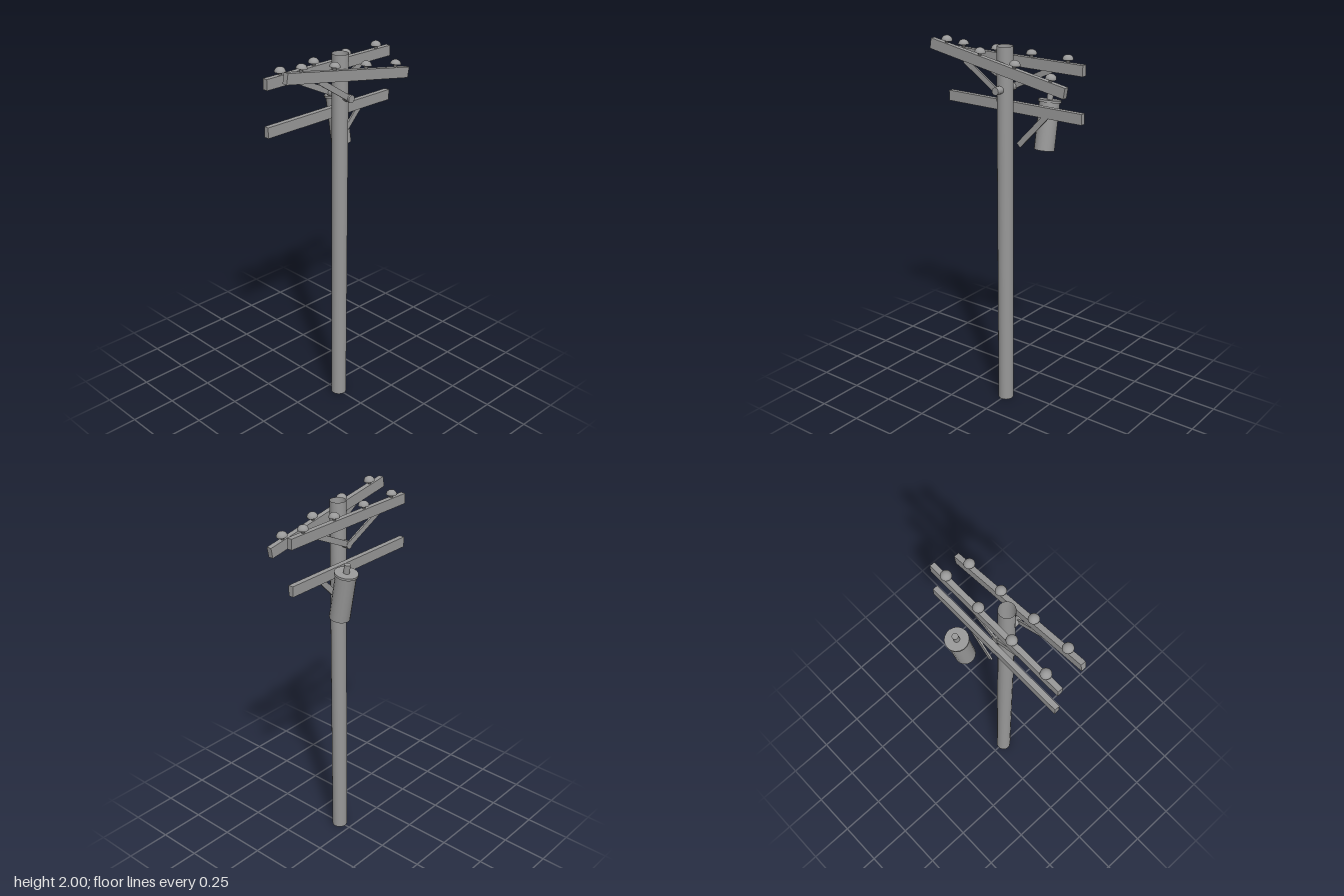
import * as THREE from 'three';

const grey = new THREE.MeshStandardMaterial({ color: 0x999999 });
const greyOpen = new THREE.MeshStandardMaterial({ color: 0x999999, side: THREE.DoubleSide });

function add(parent, name, geometry, x = 0, y = 0, z = 0, material = grey) {
  const mesh = new THREE.Mesh(geometry, material);
  mesh.name = name;
  mesh.position.set(x, y, z);
  parent.add(mesh);
  return mesh;
}

// Flat bar between two points in a plane of constant z
function addBrace(parent, name, x1, y1, x2, y2, z) {
  const length = Math.hypot(x2 - x1, y2 - y1);
  const bar = add(parent, name, new THREE.BoxGeometry(length, 0.03, 0.009),
    (x1 + x2) / 2, (y1 + y2) / 2, z);
  bar.rotation.z = Math.atan2(y2 - y1, x2 - x1);
}

// Crossarm centred on its own origin, optionally carrying four insulators
function makeCrossarm(name, withInsulators) {
  const arm = new THREE.Group();
  arm.name = name;
  add(arm, 'beam', new THREE.BoxGeometry(0.84, 0.055, 0.028));
  if (withInsulators) {
    const profile = [[0, 0.02], [0.009, 0.02], [0.009, 0.043], [0.028, 0.043]]
      .map(([r, y]) => new THREE.Vector2(r, y));
    for (const x of [-0.326, -0.109, 0.109, 0.326]) {
      const insulator = new THREE.Group();
      insulator.name = 'insulator';
      insulator.position.set(x, 0, 0.001);
      add(insulator, 'insulatorPin', new THREE.LatheGeometry(profile, 16), 0, 0, 0, greyOpen);
      const dome = add(insulator, 'insulatorCap',
        new THREE.SphereGeometry(0.028, 16, 6, 0, Math.PI * 2, 0, Math.PI / 2), 0, 0.043, 0);
      dome.scale.y = 0.88;
      arm.add(insulator);
    }
  }
  return arm;
}

export function createModel() {
  const model = new THREE.Group();
  model.name = 'utilityPole';

  // Hollow pole, open at both ends
  add(model, 'pole', new THREE.CylinderGeometry(0.042, 0.042, 1.975, 20, 1, true),
    0.001, 0.9875, 0.072, greyOpen);

  // Through bolt joining the front and back braces
  const bolt = add(model, 'throughBolt', new THREE.CylinderGeometry(0.02, 0.02, 0.158, 16), 0.001, 1.76, 0.074);
  bolt.rotation.x = Math.PI / 2;

  // Crossarms: level pair behind, sagging one in front
  const backArm = makeCrossarm('backCrossarm', true);
  backArm.position.set(0.001, 1.892, -0.002);
  const lowerArm = makeCrossarm('lowerCrossarm', false);
  lowerArm.position.set(0.001, 1.653, -0.002);
  const frontArm = makeCrossarm('frontCrossarm', true);
  frontArm.position.set(-0.002, 1.88, 0.139);
  frontArm.rotation.z = -0.173;
  model.add(backArm, lowerArm, frontArm);

  // Braces
  for (const side of [-1, 1]) {
    addBrace(model, 'backBrace', 0, 1.76, side * 0.24, 1.877, 0.002);
  }
  addBrace(model, 'frontBrace', 0, 1.76, -0.2, 1.89, 0.139);
  addBrace(model, 'lowerBrace', 0.035, 1.455, 0.215, 1.643, 0.002);

  // Leaning transformer can with lid and terminal
  const transformer = new THREE.Group();
  transformer.name = 'transformer';
  transformer.position.set(0.147, 1.435, -0.066);
  transformer.rotation.x = -0.175;
  add(transformer, 'can', new THREE.CylinderGeometry(0.053, 0.053, 0.25, 18), 0, 0.125, 0);
  add(transformer, 'lid', new THREE.CylinderGeometry(0.06, 0.06, 0.012, 18), 0, 0.253, 0);
  add(transformer, 'terminal', new THREE.CylinderGeometry(0.016, 0.016, 0.05, 14), 0, 0.28, 0);
  model.add(transformer);

  return model;
}
